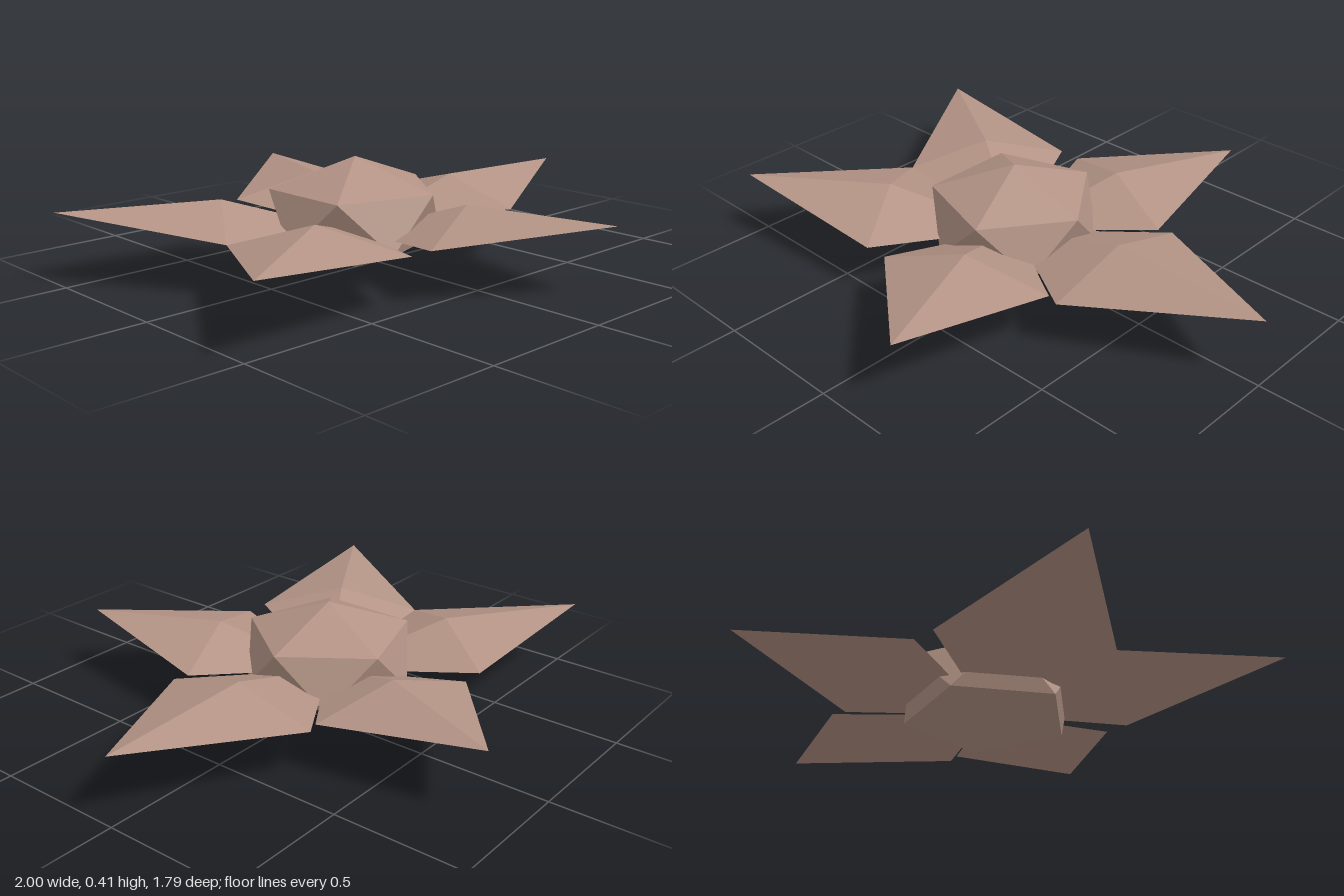
import * as THREE from 'three';
import { ConvexGeometry } from 'three/addons/geometries/ConvexGeometry.js';

const CX = -0.106; // x of the flower's centre

export function createModel() {
  const group = new THREE.Group();
  const clay = new THREE.MeshStandardMaterial({ color: 0xb39385, flatShading: true });
  clay.name = 'dusty clay';

  const addHull = (name, points) => {
    const mesh = new THREE.Mesh(new ConvexGeometry(points), clay);
    mesh.name = name;
    group.add(mesh);
  };

  // Core: a squashed icosahedron, two staggered pentagons between two poles
  const core = [new THREE.Vector3(CX, 0.413, 0), new THREE.Vector3(CX, 0, 0)];
  for (let i = 0; i < 10; i++) {
    const a = (i * Math.PI) / 5;
    core.push(new THREE.Vector3(CX + 0.31 * Math.cos(a), i % 2 ? 0.117 : 0.302, 0.31 * Math.sin(a)));
  }
  addHull('core', core);

  // Petal: flat kite underneath, with a raised peak where its diagonals cross
  const addPetal = (name, tip, cornerA, cornerB, peak, side = 1) => {
    const at = ([x, z], y) => new THREE.Vector3(x, y, z * side);
    addHull(name, [
      at([CX, 0], 0.136), at(tip, 0.257), at(cornerA, 0.19), at(cornerB, 0.19), at(peak, 0.277),
    ]);
  };

  addPetal('sidePetal', [1, 0], [0.39, 0.315], [0.39, -0.315], [0.39, 0]);
  for (const side of [1, -1]) {
    const end = side > 0 ? 'Front' : 'Back';
    addPetal('middlePetal' + end, [0.235, 0.895], [-0.25, 0.515], [0.34, 0.295], [0.047, 0.402], side);
    addPetal('outerPetal' + end, [-1, 0.553], [-0.34, 0.518], [-0.682, 0], [-0.516, 0.252], side);
  }
  return group;
}
